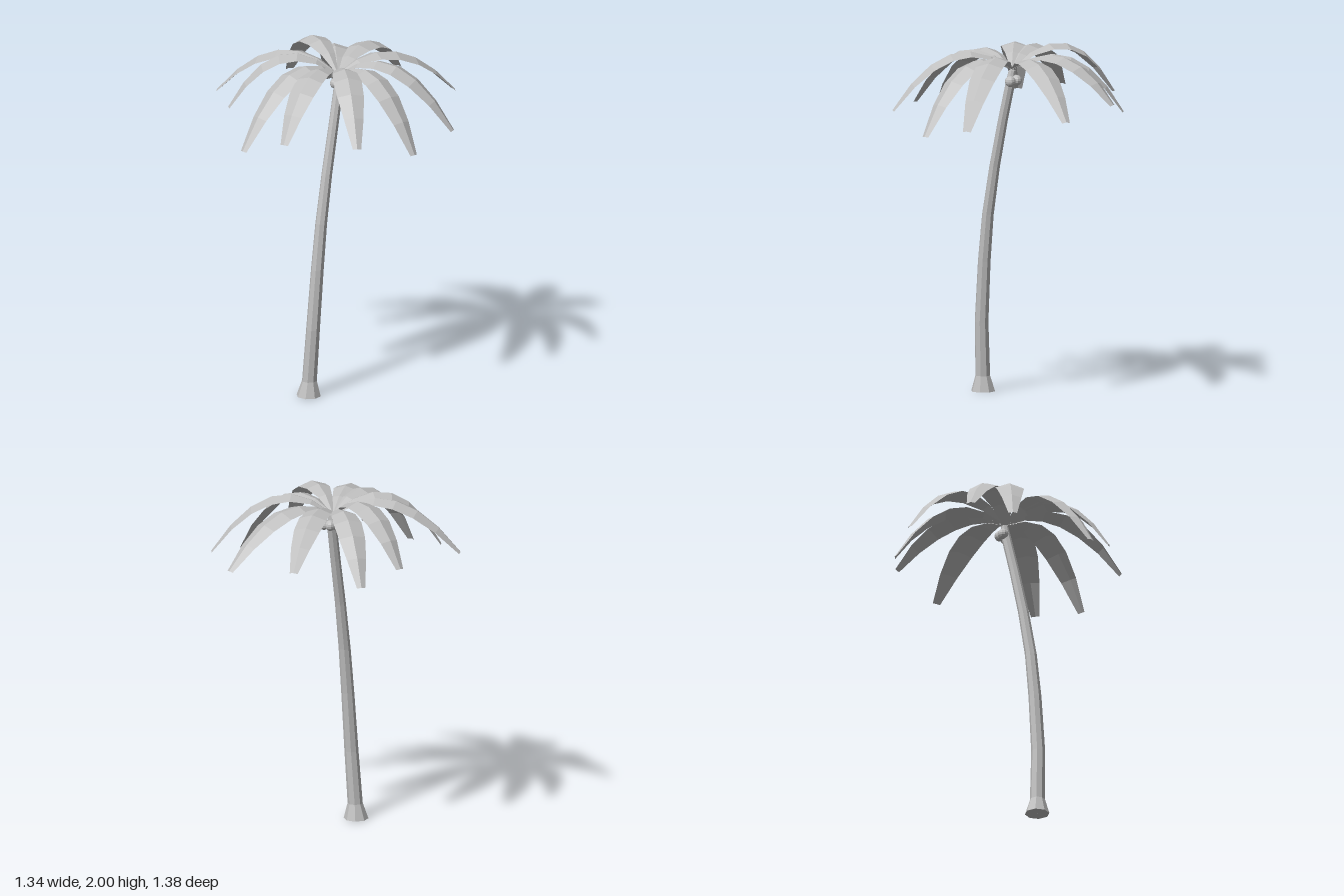
import * as THREE from 'three';

// Surface from equal-length rows of points; closed rows wrap round
function loft(rows, closed) {
  const n = rows[0].length, pos = rows.flat().flatMap(p => [p.x, p.y, p.z]), index = [];
  for (let i = 0; i < rows.length - 1; i++) {
    for (let j = 0; j < (closed ? n : n - 1); j++) {
      const k = (j + 1) % n, a = i * n + j, b = i * n + k, c = a + n, d = b + n;
      index.push(a, c, b, b, c, d);
    }
  }
  const g = new THREE.BufferGeometry();
  g.setAttribute('position', new THREE.Float32BufferAttribute(pos, 3));
  g.setIndex(index);
  const flat = g.toNonIndexed();
  flat.computeVertexNormals();
  return flat;
}

export function createModel() {
  const palm = new THREE.Group();
  palm.name = 'palmTree';
  const grey = new THREE.MeshStandardMaterial({ color: 0xbfbfbf, flatShading: true, side: THREE.DoubleSide });
  grey.name = 'paleGrey';
  const add = (name, geometry) => {
    const m = new THREE.Mesh(geometry, grey);
    m.name = name;
    palm.add(m);
    return m;
  };

  // Leaning trunk with a flared foot: x, y, z, radius
  const rings = [
    [-0.23, 0, -0.015, 0.001], [-0.23, 0, -0.015, 0.07], [-0.229, 0.09, -0.01, 0.043],
    [-0.222, 0.4, 0.01, 0.04], [-0.195, 0.75, 0.02, 0.037], [-0.165, 1.02, 0.025, 0.034],
    [-0.115, 1.3, 0.027, 0.031], [-0.055, 1.57, 0.028, 0.029], [0, 1.8, 0.025, 0.028],
    [0.005, 1.86, 0.02, 0.02], [0.005, 1.86, 0.02, 0.001],
  ];
  const sides = 8;
  add('trunk', loft(rings.map(([x, y, z, r]) => Array.from({ length: sides }, (_, j) => {
    const a = -(j + 0.5) / sides * Math.PI * 2;
    return new THREE.Vector3(x + r * Math.cos(a), y, z + r * Math.sin(a));
  })), true));

  // Fronds: tip x, y, z and the height that pulls up the arch
  const crown = new THREE.Vector3(0, 1.865, 0.018);
  const halfWidths = [0.006, 0.042, 0.07, 0.081, 0.076, 0.056, 0.024];
  const tips = [
    [-0.195, 1.68, -0.69, 2.15], [-0.355, 1.66, -0.49, 2.18], [-0.67, 1.55, -0.15, 2.16],
    [-0.63, 1.63, 0.11, 2.14], [-0.47, 1.645, 0.51, 2.16], [-0.125, 1.545, 0.655, 2.13],
    [0.2, 1.61, 0.685, 2.16], [0.655, 1.665, 0.35, 2.12], [0.67, 1.715, -0.06, 2.13],
    [0.48, 1.62, -0.395, 2.12], [0.295, 1.7, -0.55, 2.2],
  ];
  for (const [x, y, z, pull] of tips) {
    const tip = new THREE.Vector3(x, y, z);
    const out = new THREE.Vector3(x - crown.x, 0, z - crown.z).normalize();
    const side = new THREE.Vector3(-out.z, 0, out.x);
    const control = crown.clone().addScaledVector(out, 0.36).setY(pull);
    const rib = new THREE.QuadraticBezierCurve3(crown, control, tip);
    const rows = halfWidths.map((w, i) => {
      const t = i / (halfWidths.length - 1), p = rib.getPoint(t);
      const up = new THREE.Vector3().crossVectors(side, rib.getTangent(t));
      if (up.y < 0) up.negate();
      // Ridged section: the two edges hang below the midrib
      return [-1, 0, 1].map(s => p.clone().addScaledVector(side, s * w).addScaledVector(up, -Math.abs(s) * w * 0.33));
    });
    // Rows run left to right so that the faces look up
    add('frond', loft(rows, false));
  }

  // Coconuts under the crown
  for (const [x, y, z] of [[0.035, 1.805, 0.018], [0.025, 1.802, 0.062], [0.002, 1.803, -0.002]]) {
    add('coconut', new THREE.SphereGeometry(0.031, 10, 8)).position.set(x, y, z);
  }
  return palm;
}
